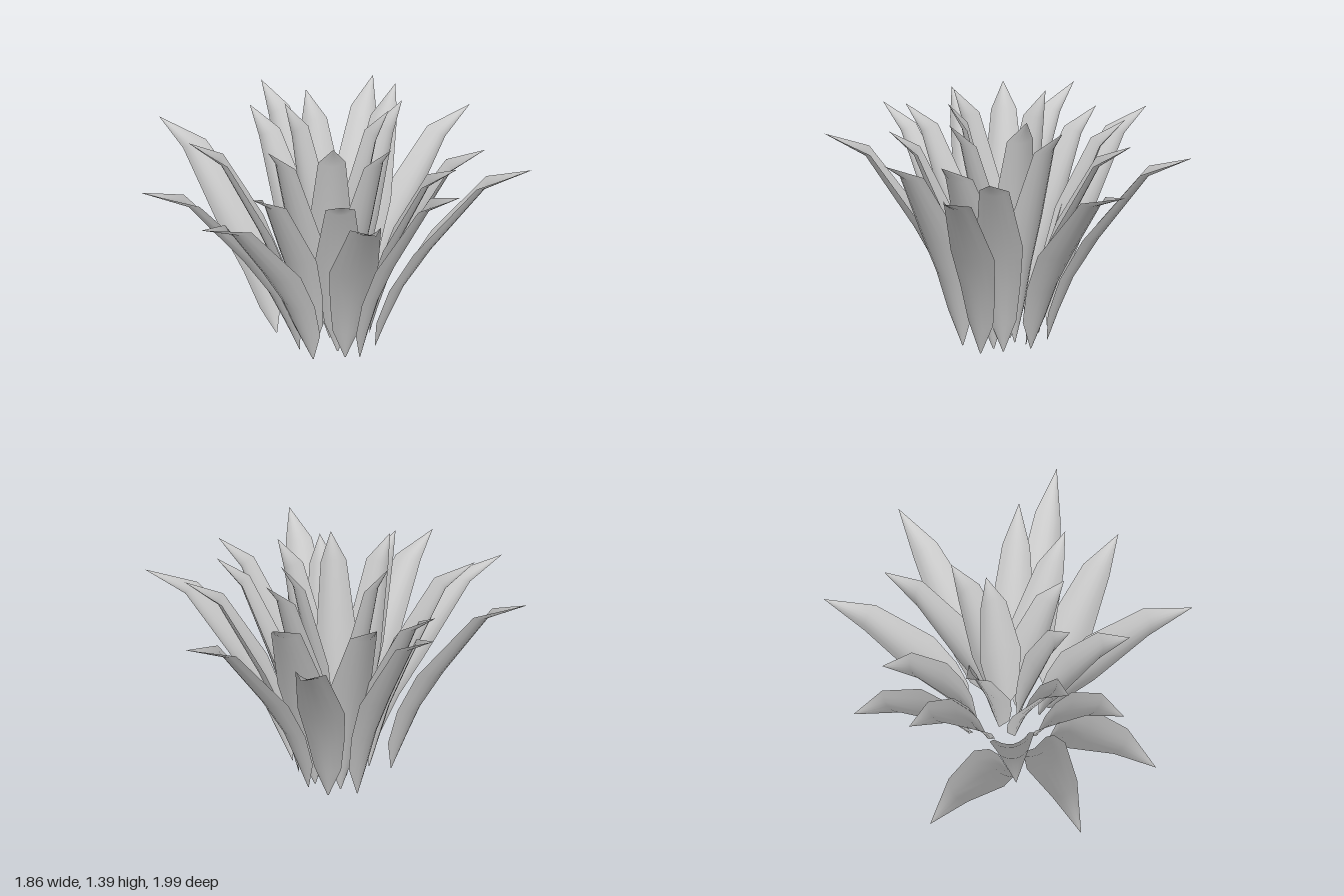
import * as THREE from 'three';

// Each leaf: tip x, y, z, base x, z, and twist of the blade about its length
const whorls = [
  { name: 'outerLeaf', half: 0.13, leaves: [
    [0.16, 1.19, -1.0, 0.04, -0.23, 0], [-0.49, 1.2, -0.88, -0.1, -0.22, 0.1],
    [-0.82, 1.27, -0.27, -0.22, -0.1, -0.2], [-0.93, 1.24, 0.41, -0.21, 0.23, 0.35],
    [-0.42, 1.19, 0.96, 0, 0.25, -0.4], [0.09, 1.2, 0.99, 0.12, 0.26, -0.35],
    [0.83, 1.29, 0.54, 0.24, 0.12, 0], [0.87, 1.27, -0.03, 0.3, 0.06, -0.15],
    [0.93, 1.24, -0.55, 0.29, -0.08, 0.3]] },
  { name: 'middleLeaf', half: 0.125, leaves: [
    [-0.18, 1.3, -0.73, 0.03, -0.18, -0.3], [-0.54, 1.27, -0.36, -0.12, -0.13, 0],
    [-0.66, 1.25, -0.03, -0.16, 0.01, 0], [-0.49, 1.3, 0.57, -0.1, 0.16, -0.2],
    [0.15, 1.27, 0.7, 0.06, 0.2, 0], [0.49, 1.25, 0.42, 0.17, 0.11, 0],
    [0.68, 1.27, -0.24, 0.2, -0.09, -0.2], [0.63, 1.25, -0.54, 0.18, -0.15, 0]] },
  { name: 'innerLeaf', half: 0.12, leaves: [
    [0.43, 1.38, -0.01, 0.11, -0.03, 0], [0, 1.38, 0.45, -0.03, 0.11, 0],
    [0.08, 1.37, -0.49, 0.06, -0.12, 0]] },
  { name: 'heartLeaf', half: 0.12, leaves: [
    [0.24, 1.4, 0.22, 0.05, 0.05, 0], [0.15, 1.4, -0.3, 0.04, -0.06, 0],
    [-0.31, 1.4, 0.03, -0.06, 0, 0]] },
];

// Leaf stations: [height fraction, outward fraction, width fraction]
const stations = [[0.01, 0, 0.03], [0.17, 0.08, 0.6], [0.36, 0.19, 0.82],
  [0.57, 0.37, 1], [0.9, 0.71, 0.6], [1, 1, 0]];
const COLS = 6;
const up = new THREE.Vector3(0, 1, 0);

// Channelled blade whose edges curl towards the heart of the rosette
function leafGeometry([tipX, tipY, tipZ, baseX, baseZ, twist], half) {
  const base = new THREE.Vector3(baseX, 0, baseZ);
  const run = new THREE.Vector3(tipX, 0, tipZ).sub(base);
  const out = run.clone().normalize();
  const side = new THREE.Vector3().crossVectors(up, out).addScaledVector(out, twist).normalize();
  const spine = stations.map(([h, r]) => base.clone()
    .addScaledVector(run, r).addScaledVector(up, h * tipY));
  const positions = [], index = [];
  stations.forEach(([, , w], i) => {
    const tangent = spine[Math.min(i + 1, spine.length - 1)].clone()
      .sub(spine[Math.max(i - 1, 0)]).normalize();
    const inward = new THREE.Vector3().crossVectors(tangent, side).normalize();
    if (inward.dot(out) > 0) inward.negate();
    for (let j = 0; j <= COLS; j++) {
      const u = (j / COLS) * 2 - 1;
      const p = spine[i].clone().addScaledVector(side, u * w * half)
        .addScaledVector(inward, u * u * w * half * 0.45);
      positions.push(p.x, p.y, p.z);
    }
  });
  const row = COLS + 1;
  for (let i = 0; i < stations.length - 1; i++) {
    for (let j = 0; j < COLS; j++) {
      const a = i * row + j, b = a + 1, c = a + row, d = c + 1;
      index.push(a, b, c);
      if (i < stations.length - 2) index.push(b, d, c);
    }
  }
  const geo = new THREE.BufferGeometry();
  geo.setAttribute('position', new THREE.Float32BufferAttribute(positions, 3));
  geo.setIndex(index);
  geo.computeVertexNormals();
  return geo;
}

export function createModel() {
  const plant = new THREE.Group();
  plant.name = 'rosettePlant';
  const material = new THREE.MeshStandardMaterial({ color: 0xcccccc, side: THREE.DoubleSide });
  for (const { name, half, leaves } of whorls) {
    const whorl = new THREE.Group();
    whorl.name = name + 'Whorl';
    for (const spec of leaves) {
      const leaf = new THREE.Mesh(leafGeometry(spec, half), material);
      leaf.name = name;
      whorl.add(leaf);
    }
    plant.add(whorl);
  }
  return plant;
}
